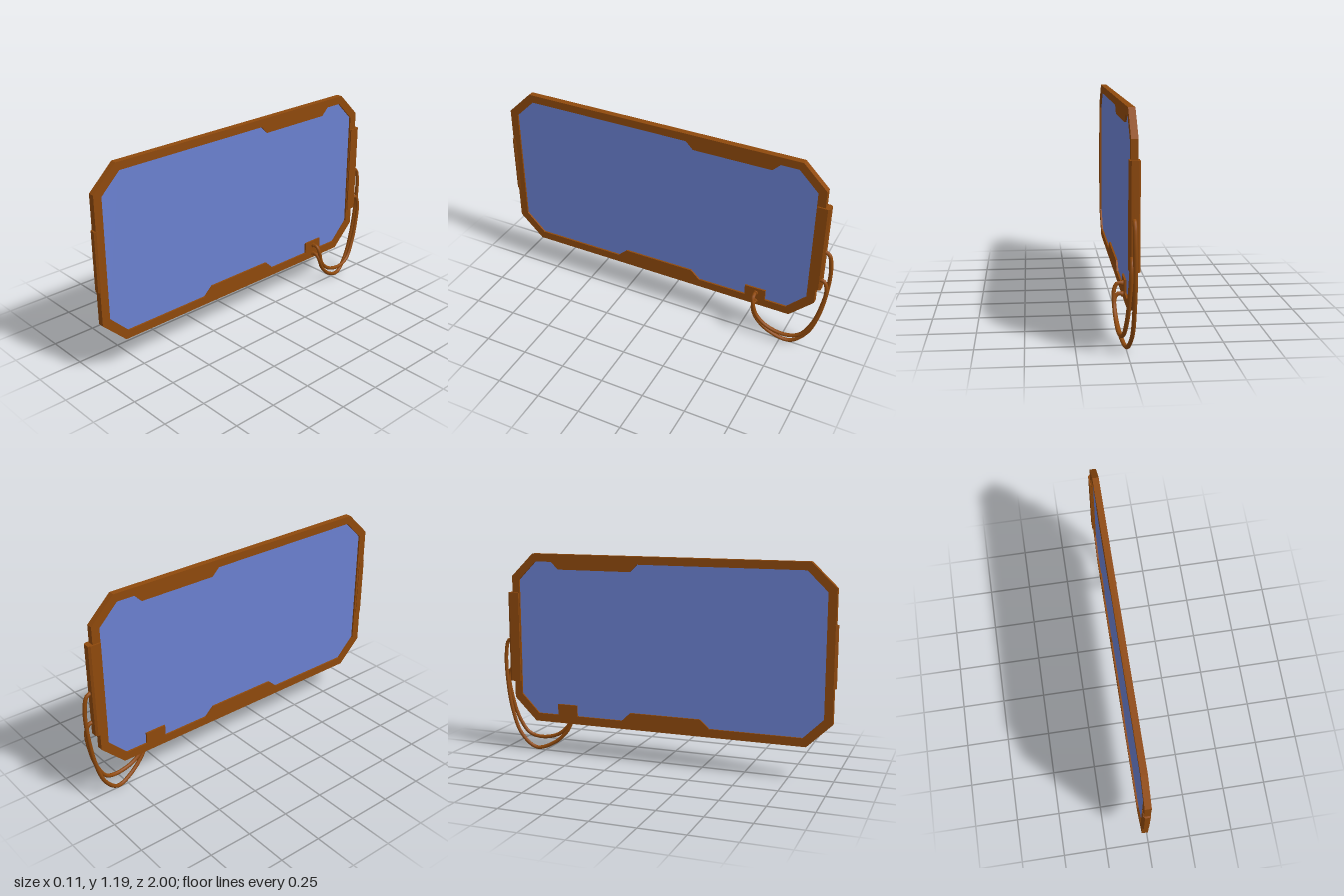
import * as THREE from 'three';

const brown = new THREE.MeshStandardMaterial({ color: 0x8f490c });
const blue = new THREE.MeshStandardMaterial({ color: 0x6a80d0 });
const MID = -0.0255; // x of the slab's middle plane

// Outlines are [z, y] pairs; the slab is extruded along x.
const toShape = (pts, Type = THREE.Shape) => new Type(pts.map(([z, y]) => new THREE.Vector2(-z, y)));

function slab(shape, depth) {
  const geo = new THREE.ExtrudeGeometry(shape, { depth, bevelEnabled: false });
  return geo.rotateY(Math.PI / 2).translate(MID - depth / 2, 0, 0);
}

// Profile of [x, z] pairs extruded upwards from y0 to y1.
function upright(profile, y0, y1) {
  const shape = new THREE.Shape(profile.map(([x, z]) => new THREE.Vector2(x, -z)));
  const geo = new THREE.ExtrudeGeometry(shape, { depth: y1 - y0, bevelEnabled: false });
  return geo.rotateX(-Math.PI / 2).translate(0, y0, 0);
}

function cableGeometry(points) {
  const curve = new THREE.CatmullRomCurve3(points.map((p) => new THREE.Vector3(...p)));
  return new THREE.TubeGeometry(curve, 64, 0.011, 10);
}

export function createModel() {
  const group = new THREE.Group();
  const add = (name, geo, mat = brown) => {
    const mesh = new THREE.Mesh(geo, mat);
    mesh.name = name;
    group.add(mesh);
  };

  // Frame with chamfered corners; the opening steps around the tabs and cable block
  const outer = [
    [0.85, 1.2], [0.99, 1.065], [0.99, 0.335], [0.85, 0.2],
    [-0.785, 0.2], [-0.922, 0.335], [-0.922, 1.065], [-0.785, 1.2],
  ];
  const opening = [
    [0.83, 1.155], [0.943, 1.045], [0.943, 0.36], [0.83, 0.248],
    [0.3, 0.248], [0.246, 0.298], [-0.177, 0.298], [-0.23, 0.248],
    [-0.515, 0.248], [-0.515, 0.313], [-0.638, 0.313], [-0.638, 0.248],
    [-0.766, 0.248], [-0.876, 0.36], [-0.876, 1.045], [-0.766, 1.155],
    [-0.665, 1.155], [-0.622, 1.112], [-0.173, 1.112], [-0.13, 1.155],
  ];
  const frame = toShape(outer);
  frame.holes.push(toShape(opening, THREE.Path));
  add('frame', slab(frame, 0.035));

  // Panel recessed inside the opening
  add('screen', slab(toShape(opening), 0.015), blue);

  // Grip wrapped around the rear edge
  add('rearGrip', upright([
    [-0.052, -0.88], [-0.052, -0.938], [-0.044, -0.95],
    [-0.008, -0.95], [0, -0.938], [0, -0.88],
  ], 0.435, 0.967));

  // Slim strip on the front edge
  add('frontStrip', upright([
    [-0.046, 0.955], [-0.046, 0.988], [-0.038, 1],
    [-0.012, 1], [-0.005, 0.988], [-0.012, 0.955],
  ], 0.53, 0.872));

  // Two cables hanging from the grip to the block
  add('outerCable', cableGeometry([
    [-0.022, 0.69, -0.935], [-0.022, 0.675, -0.97], [-0.022, 0.6, -0.988],
    [-0.024, 0.45, -0.985], [-0.024, 0.25, -0.955], [-0.018, 0.1, -0.9],
    [0, 0.02, -0.81], [0.022, 0.055, -0.7], [0.036, 0.13, -0.62],
    [0.038, 0.2, -0.588], [0.022, 0.225, -0.582], [-0.015, 0.225, -0.582],
  ]));
  add('innerCable', cableGeometry([
    [-0.012, 0.505, -0.935], [-0.01, 0.498, -0.965], [-0.006, 0.45, -0.983],
    [0, 0.33, -0.968], [0.008, 0.2, -0.93], [0.02, 0.105, -0.87],
    [0.031, 0.08, -0.79], [0.037, 0.105, -0.68], [0.041, 0.17, -0.61],
    [0.04, 0.25, -0.587], [0.024, 0.28, -0.582], [-0.015, 0.282, -0.582],
  ]));

  // Cable sockets on the block
  for (const y of [0.225, 0.282]) {
    const socket = new THREE.CylinderGeometry(0.015, 0.015, 0.012, 16);
    add('cableSocket', socket.rotateZ(Math.PI / 2).translate(-0.004, y, -0.582));
  }
  return group;
}
